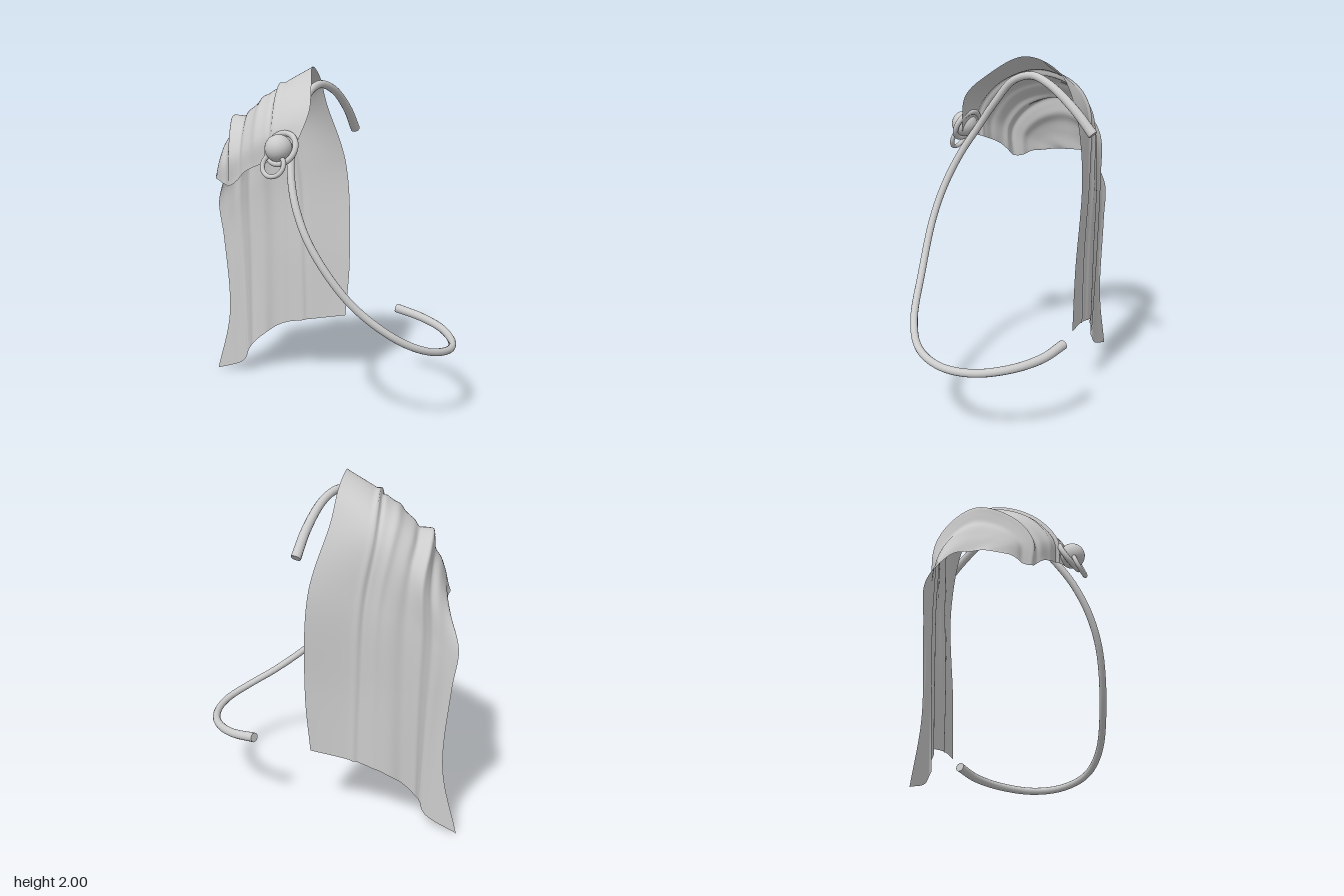
import * as THREE from 'three';

const material = new THREE.MeshStandardMaterial({ color: 0xcccccc, side: THREE.DoubleSide });
const curve = (pts) => new THREE.CatmullRomCurve3(pts.map((p) => new THREE.Vector3(...p)));

// Strips of cloth, neck side to arm side; each runs from the front hem over the shoulder to the back hem
const neckStrips = [
  [[0, 1.55, .38], [.07, 1.77, .31], [.03, 1.89, .19], [-.05, 2, -.01], [-.085, 1.93, -.2],
    [-.085, 1.77, -.3], [0, 1.4, -.405], [.035, .8, -.39], [.015, .43, -.37]],
  [[-.15, 1.5, .34], [-.15, 1.66, .33], [-.19, 1.82, .2], [-.25, 1.89, 0], [-.31, 1.83, -.18],
    [-.33, 1.7, -.28], [-.28, 1.35, -.32], [-.25, .8, -.31], [-.24, .385, -.31]],
  [[-.32, 1.43, .31], [-.33, 1.56, .3], [-.36, 1.7, .2], [-.42, 1.76, .02], [-.47, 1.72, -.14],
    [-.47, 1.6, -.25], [-.43, 1.3, -.3], [-.42, .8, -.295], [-.42, .335, -.29]],
];
const armStrips = [
  [[-.45, 1.33, .27], [-.44, 1.5, .27], [-.48, 1.63, .17], [-.55, 1.69, 0], [-.58, 1.62, -.13],
    [-.59, 1.48, -.23], [-.6, 1.2, -.24], [-.59, .8, -.24], [-.58, .2, -.22]],
  [[-.56, 1.35, .2], [-.57, 1.42, .18], [-.6, 1.47, .1], [-.635, 1.47, -.01], [-.66, 1.44, -.1],
    [-.7, 1.3, -.18], [-.71, 1.08, -.205], [-.68, .7, -.21], [-.64, .085, -.215]],
  [[-.6, 1.35, .16], [-.645, 1.36, .07], [-.655, 1.36, 0], [-.68, 1.355, -.08], [-.72, 1.29, -.14],
    [-.79, 1.13, -.2], [-.765, .9, -.21], [-.735, .4, -.21], [-.83, .005, -.21]],
];

// Raised seam, ridges and hollows: [position across strips, height, width]
const folds = [[.94, .016, .05], [1.08, -.012, .05], [1.55, .012, .15], [2.45, -.022, .2],
  [2.95, .02, .14], [3.4, -.018, .18]];
const foldHeight = (u) => folds.reduce((s, [c, h, w]) => s + h * Math.exp(-(((u - c) / w) ** 2)), 0);

function makeCloth() {
  const strips = [...neckStrips, ...armStrips].map(curve);
  const across = 100, along = 90;
  const positions = [], indices = [];
  for (let j = 0; j <= along; j++) {
    const row = new THREE.CatmullRomCurve3(strips.map((s) => s.getPoint(j / along)));
    for (let i = 0; i <= across; i++) {
      positions.push(...row.getPoint(i / across).toArray());
      if (i < across && j < along) {
        const a = j * (across + 1) + i, b = a + across + 1;
        indices.push(a, b, a + 1, a + 1, b, b + 1);
      }
    }
  }
  const geometry = new THREE.BufferGeometry();
  geometry.setAttribute('position', new THREE.Float32BufferAttribute(positions, 3));
  geometry.setIndex(indices);
  geometry.computeVertexNormals();
  // Push the folds out of the smooth surface, fading toward the hems
  const p = geometry.attributes.position, n = geometry.attributes.normal;
  const point = new THREE.Vector3(), normal = new THREE.Vector3();
  const sign = n.getY(Math.round(along * .37) * (across + 1) + 30) < 0 ? -1 : 1;
  for (let k = 0; k < p.count; k++) {
    const u = (k % (across + 1)) / across * 5;
    const v = Math.floor(k / (across + 1)) / along;
    const fade = .45 + .55 * Math.sin(Math.PI * Math.min(1, v * 1.2));
    point.fromBufferAttribute(p, k);
    normal.fromBufferAttribute(n, k);
    point.addScaledVector(normal, sign * fade * foldHeight(u));
    p.setXYZ(k, point.x, point.y, point.z);
  }
  geometry.computeVertexNormals();
  return geometry;
}

// Cord that thickens toward both ends
function makeCord(path, segments, sides, radiusAt) {
  const geometry = new THREE.TubeGeometry(path, segments, 1, sides, false);
  const p = geometry.attributes.position, n = geometry.attributes.normal;
  for (let k = 0; k < p.count; k++) {
    const t = Math.floor(k / (sides + 1)) / segments;
    const c = path.getPointAt(t), r = radiusAt(t);
    p.setXYZ(k, c.x + n.getX(k) * r, c.y + n.getY(k) * r, c.z + n.getZ(k) * r);
  }
  return geometry;
}

export function createModel() {
  const model = new THREE.Group();
  const add = (name, geometry, position = [0, 0, 0], facing = null) => {
    const mesh = new THREE.Mesh(geometry, material);
    mesh.name = name;
    mesh.position.set(...position);
    if (facing) {
      mesh.quaternion.setFromUnitVectors(new THREE.Vector3(0, 0, 1), new THREE.Vector3(...facing).normalize());
    }
    model.add(mesh);
    return mesh;
  };

  add('shoulderCape', makeCloth());

  // Cord: from behind the neck, under the cape edge, then sweeping low around the body
  const path = curve([
    [.03, 1.61, -.48], [.025, 1.74, -.36], [.005, 1.86, -.2], [-.025, 1.9, -.07], [-.04, 1.86, .06],
    [-.045, 1.73, .18], [-.04, 1.58, .29], [0, 1.42, .39], [.07, 1.24, .46], [.17, 1.05, .485],
    [.37, .77, .44], [.6, .57, .34], [.74, .48, .21], [.805, .44, .03], [.775, .43, -.15],
    [.66, .445, -.32], [.5, .465, -.425], [.33, .49, -.465],
  ]);
  const radiusAt = (t) => .021 + .007 * Math.abs(2 * t - 1) ** 4;
  add('cord', makeCord(path, 140, 12, radiusAt));
  for (const t of [0, 1]) {
    const out = path.getTangentAt(t).multiplyScalar(t ? 1 : -1);
    add('cordEnd', new THREE.CircleGeometry(radiusAt(t), 12), path.getPointAt(t).toArray(), out.toArray());
  }

  // Clasp: round stud in a rim, with a loose ring hanging from it
  const facing = [-.15, .45, .85];
  add('claspRim', new THREE.TorusGeometry(.09, .016, 12, 36), [-.06, 1.578, .385], facing);
  add('claspStud', new THREE.SphereGeometry(.075, 28, 18), [-.067, 1.582, .405], facing);
  add('hangingRing', new THREE.TorusGeometry(.064, .013, 12, 32), [-.078, 1.495, .452], [-.05, .38, .92]);

  return model;
}
